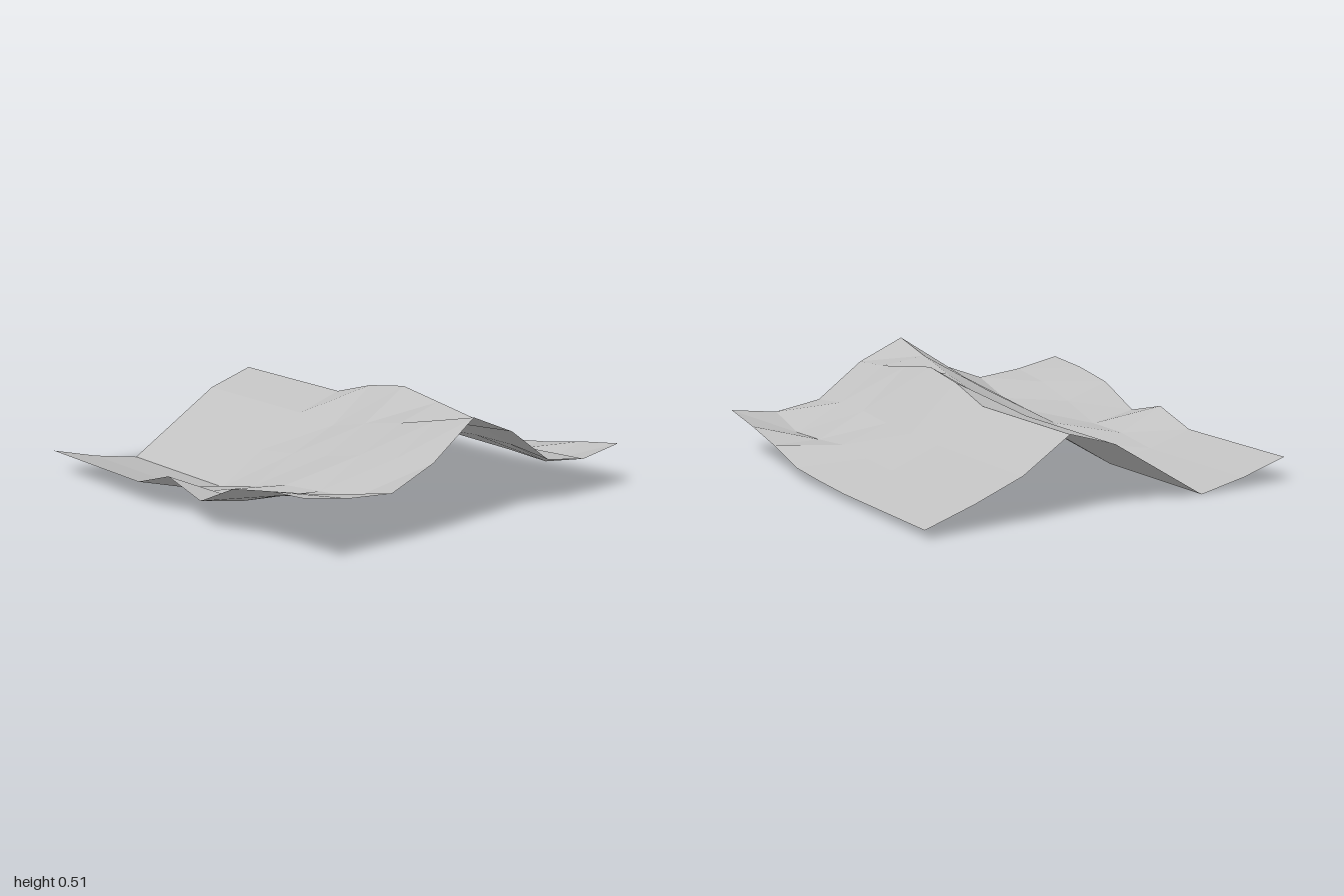
import * as THREE from 'three';

const SEGMENTS = 8;

// Terrain heights, one row per z step from back (-1) to front (+1).
// First value: the constant height of the even ridge (x from -1 to -0.25).
// The rest: the rugged end at x = 0, 0.25, 0.5, 0.75, 1.
const ROWS = [
  [0.04, 0.05, 0.065, 0.13, 0.18, 0.22],
  [0.12, 0.13, 0.15, 0.13, 0.12, 0.185],
  [0.215, 0.225, 0.23, 0.25, 0.25, 0.225],
  [0.375, 0.45, 0.49, 0.455, 0.42, 0.405],
  [0.3, 0.28, 0.34, 0.39, 0.45, 0.512],
  [0.15, 0.18, 0.22, 0.275, 0.31, 0.34],
  [0, 0.06, 0.12, 0.145, 0.17, 0.245],
  [0.05, 0.085, 0.09, 0.17, 0.235, 0.27],
  [0.12, 0.2, 0.137, 0.25, 0.295, 0.317],
];

export function createModel() {
  const group = new THREE.Group();
  group.name = 'terrain';

  const stone = new THREE.MeshStandardMaterial({
    name: 'light grey',
    color: 0xc0c0c0,
    flatShading: true,
    side: THREE.DoubleSide,
  });

  // Open sheet, raised point by point to the terrain heights
  const sheet = new THREE.PlaneGeometry(2, 2, SEGMENTS, SEGMENTS).rotateX(-Math.PI / 2);
  const position = sheet.attributes.position;
  for (let i = 0; i < position.count; i++) {
    const column = i % (SEGMENTS + 1);
    const row = Math.floor(i / (SEGMENTS + 1));
    position.setY(i, ROWS[row][Math.max(0, column - 3)]);
  }

  // Separate the facets so each keeps its own normal
  const facets = sheet.toNonIndexed();
  facets.computeVertexNormals();

  const surface = new THREE.Mesh(facets, stone);
  surface.name = 'terrainSurface';
  group.add(surface);
  return group;
}
